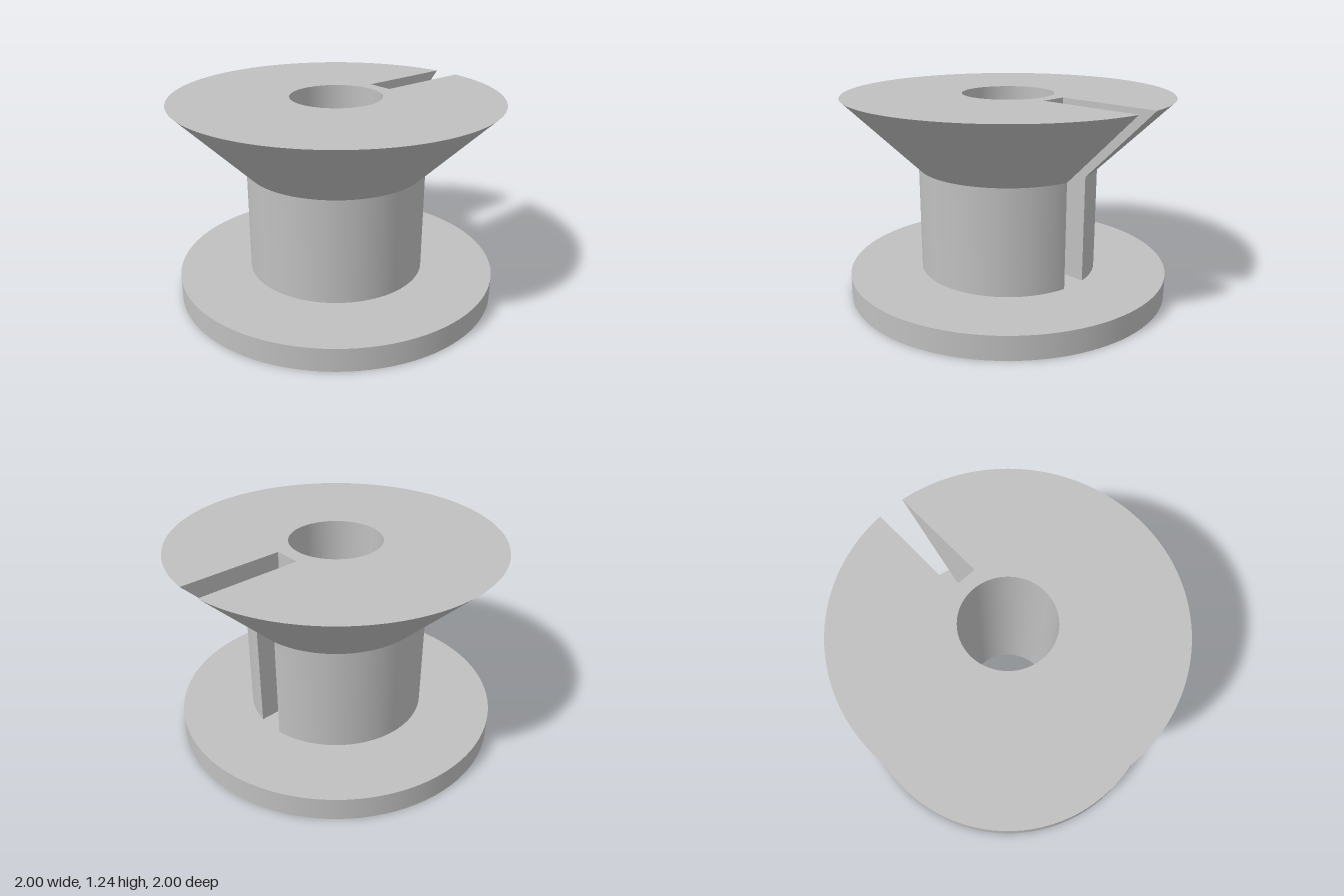
import * as THREE from 'three';
import { ParametricGeometry } from 'three/addons/geometries/ParametricGeometry.js';

const R = 1, BARREL = 0.553, BORE = 0.28;          // radii
const BASE_TOP = 0.145, NECK = 0.797, TOP = 1.24;  // heights
const SLOT = 0.083, SLOT_FLOOR = 0.365;            // slot half width and inner end
const SEGMENTS = 96;

export function createModel() {
  const group = new THREE.Group();
  const grey = new THREE.MeshStandardMaterial({ color: 0xc0c0c0 });
  grey.name = 'grey';

  const add = (name, geometry) => {
    const mesh = new THREE.Mesh(geometry, grey);
    mesh.name = name;
    group.add(mesh);
    return mesh;
  };

  // Surface swept round the axis between two profile points, open by gap on the +x side
  const band = (name, r0, y0, r1, y1, gap = 0, rows = 1) =>
    add(name, new ParametricGeometry((u, v, p) => {
      const r = r0 + (r1 - r0) * v;
      const a = Math.asin(gap / r);
      const t = a + (2 * Math.PI - 2 * a) * u;
      p.set(r * Math.cos(t), y0 + (y1 - y0) * v, -r * Math.sin(t));
    }, SEGMENTS, rows));

  // Flat slot wall reaching from the slot's inner end to the outer surface
  const wall = (name, side, r0, y0, r1, y1, rows) =>
    add(name, new ParametricGeometry((u, v, p) => {
      const r = r0 + (r1 - r0) * v;
      const outer = Math.sqrt(r * r - SLOT * SLOT);
      const s = side < 0 ? u : 1 - u;
      p.set(SLOT_FLOOR + (outer - SLOT_FLOOR) * s, y0 + (y1 - y0) * v, side * SLOT);
    }, 1, rows));

  // Base flange
  band('baseUnderside', BORE, 0, R, 0);
  band('baseRim', R, 0, R, BASE_TOP);
  band('baseTop', R, BASE_TOP, BORE, BASE_TOP);

  // Barrel and flared head, both cut by the slot
  band('barrel', BARREL, BASE_TOP, BARREL, NECK, SLOT);
  band('flare', BARREL, NECK, R, TOP, SLOT, 10);
  band('bore', BORE, TOP, BORE, 0);

  // Slot
  for (const side of [-1, 1]) {
    const label = side < 0 ? 'Back' : 'Front';
    wall('slotBarrelWall' + label, side, BARREL, BASE_TOP, BARREL, NECK, 1);
    wall('slotFlareWall' + label, side, BARREL, NECK, R, TOP, 10);
  }
  const floor = add('slotInnerEnd', new THREE.PlaneGeometry(2 * SLOT, TOP - BASE_TOP));
  floor.rotation.y = Math.PI / 2;
  floor.position.set(SLOT_FLOOR, (TOP + BASE_TOP) / 2, 0);

  // Top face with the slot notch and bore hole
  const a = Math.asin(SLOT / R);
  const face = new THREE.Shape();
  face.moveTo(SLOT_FLOOR, SLOT);
  face.lineTo(R * Math.cos(a), SLOT);
  face.absarc(0, 0, R, a, 2 * Math.PI - a, false);
  face.lineTo(SLOT_FLOOR, -SLOT);
  face.closePath();
  const hole = new THREE.Path();
  hole.absarc(0, 0, BORE, 0, 2 * Math.PI, true);
  face.holes.push(hole);
  const top = add('topFace', new THREE.ShapeGeometry(face, SEGMENTS));
  top.rotation.x = -Math.PI / 2;
  top.position.y = TOP;

  return group;
}
